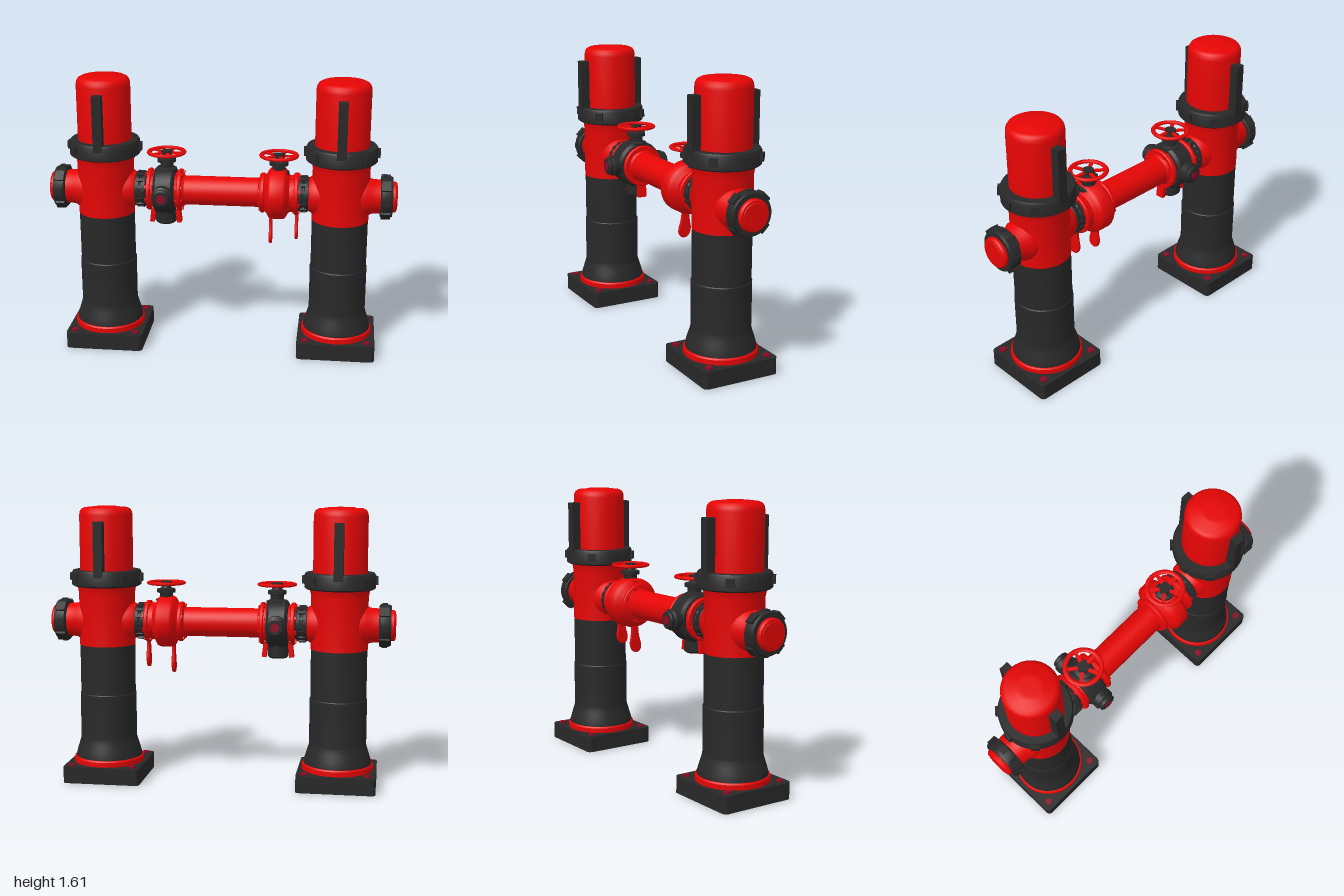
import * as THREE from 'three';
import { toCreasedNormals } from 'three/addons/utils/BufferGeometryUtils.js';

const material = (name, color) => {
  const m = new THREE.MeshStandardMaterial({ color });
  m.name = name;
  return m;
};

export function createModel() {
  const red = material('red paint', 0xe60505);
  const dark = material('dark iron', 0x282828);
  const crimson = material('crimson bolts', 0x8c0a24);
  const PIPE_Y = 0.94;

  function add(parent, name, geometry, mat, x = 0, y = 0, z = 0) {
    const mesh = new THREE.Mesh(geometry, mat);
    mesh.name = name;
    mesh.position.set(x, y, z);
    parent.add(mesh);
    return mesh;
  }
  function group(parent, name, x = 0, y = 0, z = 0) {
    const g = new THREE.Group();
    g.name = name;
    g.position.set(x, y, z);
    parent.add(g);
    return g;
  }
  // Turned solid around y; points are [radius, height] from bottom to top
  const turned = (points, sides = 48) => toCreasedNormals(
    new THREE.LatheGeometry(points.map(p => new THREE.Vector2(...p)), sides), 0.6);
  // Turned solid lying along x; points are [radius, x]
  const turnedX = (points, sides = 40) => turned(points, sides).rotateZ(-Math.PI / 2);
  const box = (w, h, d) => new THREE.BoxGeometry(w, h, d);
  // Items spread evenly around the x axis
  function aroundX(parent, name, count, radius, x, geometry, mat, offset = 0) {
    for (let i = 0; i < count; i++) {
      const a = offset + i / count * Math.PI * 2;
      const m = add(parent, name, geometry, mat, x, Math.cos(a) * radius, Math.sin(a) * radius);
      m.rotation.x = a;
    }
  }

  // Square foot with rounded corners
  const s = 0.226, r = 0.025;
  const foot = new THREE.Shape();
  foot.moveTo(-s + r, -s);
  foot.absarc(s - r, -s + r, r, -Math.PI / 2, 0);
  foot.absarc(s - r, s - r, r, 0, Math.PI / 2);
  foot.absarc(-s + r, s - r, r, Math.PI / 2, Math.PI);
  foot.absarc(-s + r, -s + r, r, Math.PI, Math.PI * 1.5);
  const footGeo = new THREE.ExtrudeGeometry(foot, { depth: 0.096, bevelEnabled: false, curveSegments: 5 });
  footGeo.rotateX(-Math.PI / 2);

  function buildColumn(parent) {
    const c = group(parent, 'column');
    add(c, 'footPlate', footGeo, dark, 0, 0.002, 0);
    add(c, 'footUnderside', new THREE.CircleGeometry(0.205, 48).rotateX(Math.PI / 2), red);
    for (const x of [-1, 1]) for (const z of [-1, 1])
      add(c, 'footBolt', new THREE.CylinderGeometry(0.02, 0.02, 0.012, 12), crimson, x * 0.18, 0.102, z * 0.18);
    add(c, 'footRing', turned([[0.206, 0.097], [0.206, 0.126], [0.2, 0.134], [0.16, 0.134]]), red);
    add(c, 'shaft', turned([[0.196, 0.13], [0.194, 0.145], [0.186, 0.175], [0.175, 0.21], [0.166, 0.24],
      [0.165, 0.25], [0.165, 0.51], [0.161, 0.515], [0.161, 0.8]]), dark);
    add(c, 'upperBody', turned([[0.163, 0.8], [0.163, 1.1], [0.167, 1.125], [0.175, 1.15]]), red);

    // Clamping collar with lugs between the fins
    add(c, 'collar', turned([[0.16, 1.15], [0.19, 1.145], [0.202, 1.153], [0.202, 1.225], [0.195, 1.237],
      [0.15, 1.238]]), dark);
    for (const a of [1, 2, 3, 5, 6, 7].map(k => k * Math.PI / 4)) {
      const lug = add(c, 'collarLug', box(0.046, 0.046, 0.026), dark, Math.sin(a) * 0.202, 1.196, Math.cos(a) * 0.202);
      lug.rotation.y = a;
    }

    // Domed cap with front and back fins
    add(c, 'cap', turned([[0.154, 1.23], [0.154, 1.555], [0.151, 1.575], [0.142, 1.59], [0.125, 1.599],
      [0.085, 1.6], [0.075, 1.605], [0.05, 1.606], [0, 1.606]]), red);
    for (const z of [-1, 1])
      add(c, 'capFin', box(0.053, 0.32, 0.055), dark, 0, 1.363, z * 0.176);

    // Outward outlet with its coupling ring and blank end
    const o = group(c, 'outlet', 0, PIPE_Y, 0);
    add(o, 'outletNeck', turnedX([[0.118, 0.1], [0.112, 0.155], [0.1, 0.175], [0.095, 0.24]]), red);
    add(o, 'outletRing', turnedX([[0.085, 0.225], [0.112, 0.225], [0.121, 0.232], [0.121, 0.275],
      [0.113, 0.293], [0.08, 0.293]]), dark);
    aroundX(o, 'ringLug', 4, 0.117, 0.255, box(0.052, 0.024, 0.06), dark, Math.PI / 4);
    aroundX(o, 'ringStud', 4, 0.118, 0.255, box(0.03, 0.016, 0.03), dark);
    add(o, 'outletEnd', turnedX([[0.088, 0.28], [0.088, 0.308], [0.08, 0.317], [0.07, 0.317],
      [0.066, 0.32], [0, 0.32]]), red);

    // Inward neck and knobbled coupling toward the valve
    const n = group(c, 'inlet', 0, PIPE_Y, 0);
    add(n, 'inletNeck', turnedX([[0.088, -0.2], [0.096, -0.182], [0.112, -0.155], [0.118, -0.1]]), red);
    add(n, 'couplingCore', turnedX([[0.088, -0.25], [0.088, -0.185]]), dark);
    for (const x of [-0.193, -0.23])
      add(n, 'inletCoupling', turnedX([[0.07, x - 0.015], [0.094, x - 0.015], [0.1, x - 0.009],
        [0.1, x + 0.009], [0.094, x + 0.015], [0.07, x + 0.015]]), dark);
    aroundX(n, 'couplingKnob', 16, 0.1, -0.21, box(0.04, 0.014, 0.018), dark);
    return c;
  }

  const model = new THREE.Group();
  model.name = 'twinColumnHydrant';
  const leftColumn = buildColumn(model);
  leftColumn.position.x = 0.68;
  const rightColumn = buildColumn(model);
  rightColumn.position.x = -0.68;
  rightColumn.rotation.y = Math.PI;

  // Pipe between the valves
  add(model, 'crossPipe', turnedX([[0.084, -0.25], [0.084, 0.25]]), red, 0, PIPE_Y, 0);

  // Stem and five-spoked handwheel
  function buildHandwheel(parent, x) {
    const w = group(parent, 'handwheel', x, 0, 0);
    add(w, 'stem', turned([[0.06, 0.1], [0.06, 0.13], [0.038, 0.14], [0.038, 0.165], [0.054, 0.17],
      [0.054, 0.19], [0.03, 0.197], [0.02, 0.232], [0, 0.232]], 20), dark);
    const rim = new THREE.TorusGeometry(0.1, 0.014, 8, 40).scale(1, 1, 0.7).rotateX(Math.PI / 2);
    add(w, 'wheelRim', rim, red, 0, 0.225, 0);
    for (let i = 0; i < 5; i++) {
      const a = i / 5 * Math.PI * 2;
      const spoke = add(w, 'wheelSpoke', box(0.08, 0.01, 0.02), red, Math.cos(a) * 0.062, 0.222, -Math.sin(a) * 0.062);
      spoke.rotation.y = a;
    }
    add(w, 'wheelHub', new THREE.CylinderGeometry(0.032, 0.032, 0.022, 16), dark, 0, 0.223, 0);
  }

  // Bolted red flange centred at x
  function buildFlange(parent, x, radius) {
    add(parent, 'flange', turnedX([[0.07, x - 0.012], [radius - 0.005, x - 0.012], [radius, x - 0.007],
      [radius, x + 0.007], [radius - 0.005, x + 0.012], [0.07, x + 0.012]]), red);
    aroundX(parent, 'flangeBolt', 8, radius - 0.016, x, box(0.042, 0.018, 0.018), red, Math.PI / 8);
  }

  // Dark gate valve
  const gate = group(model, 'gateValve', -0.33, PIPE_Y, 0);
  add(gate, 'gateBody', turnedX([[0.09, -0.062], [0.122, -0.06], [0.138, -0.045], [0.138, 0.045],
    [0.122, 0.06], [0.09, 0.062]]), dark);
  for (const z of [-1, 1]) {
    const boss = add(gate, 'gateSideBoss', turned([[0.06, 0.1], [0.06, 0.165], [0.05, 0.172],
      [0.05, 0.188], [0.042, 0.194], [0, 0.194]], 24), dark);
    boss.rotation.x = z * Math.PI / 2;
    const nut = add(gate, 'gateBossNut', new THREE.CylinderGeometry(0.028, 0.028, 0.008, 6), crimson, 0, 0, z * 0.195);
    nut.rotation.x = Math.PI / 2;
  }
  add(gate, 'gateSump', turned([[0, -0.198], [0.05, -0.198], [0.06, -0.188], [0.06, -0.1]], 24), dark);
  add(gate, 'gateSleeve', turnedX([[0.1, -0.1], [0.106, -0.09], [0.106, 0.08], [0.085, 0.115], [0.08, 0.115]]), red);
  for (const x of [-0.088, 0.088]) {
    buildFlange(gate, x, 0.122);
    const latch = add(gate, 'gateLatch', box(0.026, 0.085, 0.05), red, x * 0.85, -0.152, 0);
    latch.rotation.z = x > 0 ? 0.12 : -0.12;
  }
  buildHandwheel(gate, 0.008);

  // Red valve with a broad round housing and hanging paddle levers
  const lever = group(model, 'leverValve', 0.32, PIPE_Y, 0);
  add(lever, 'leverValveBody', turnedX([[0.08, -0.11], [0.1, -0.1], [0.1, -0.075], [0.118, -0.06], [0.142, -0.046],
    [0.148, -0.035], [0.148, 0.035], [0.142, 0.046], [0.118, 0.06], [0.106, 0.07], [0.106, 0.12],
    [0.08, 0.122]]).scale(1, 1, 1.07), red);
  buildFlange(lever, -0.085, 0.115);
  buildFlange(lever, 0.108, 0.122);
  const blade = new THREE.Shape();
  blade.moveTo(-0.018, 0);
  blade.bezierCurveTo(-0.015, -0.06, -0.02, -0.09, -0.028, -0.13);
  blade.bezierCurveTo(-0.03, -0.17, -0.01, -0.19, 0.014, -0.188);
  blade.bezierCurveTo(0.045, -0.18, 0.042, -0.15, 0.034, -0.125);
  blade.bezierCurveTo(0.022, -0.09, 0.017, -0.06, 0.018, 0);
  const paddle = new THREE.ExtrudeGeometry(blade, {
    depth: 0.008, bevelThickness: 0.005, bevelSize: 0.004, bevelSegments: 2, curveSegments: 8 });
  paddle.translate(0, 0, -0.004).rotateY(-Math.PI / 2);
  for (const [x, y] of [[-0.037, -0.11], [0.112, -0.08]]) add(lever, 'paddleLever', paddle, red, x, y, 0);
  buildHandwheel(lever, 0.005);

  return model;
}
